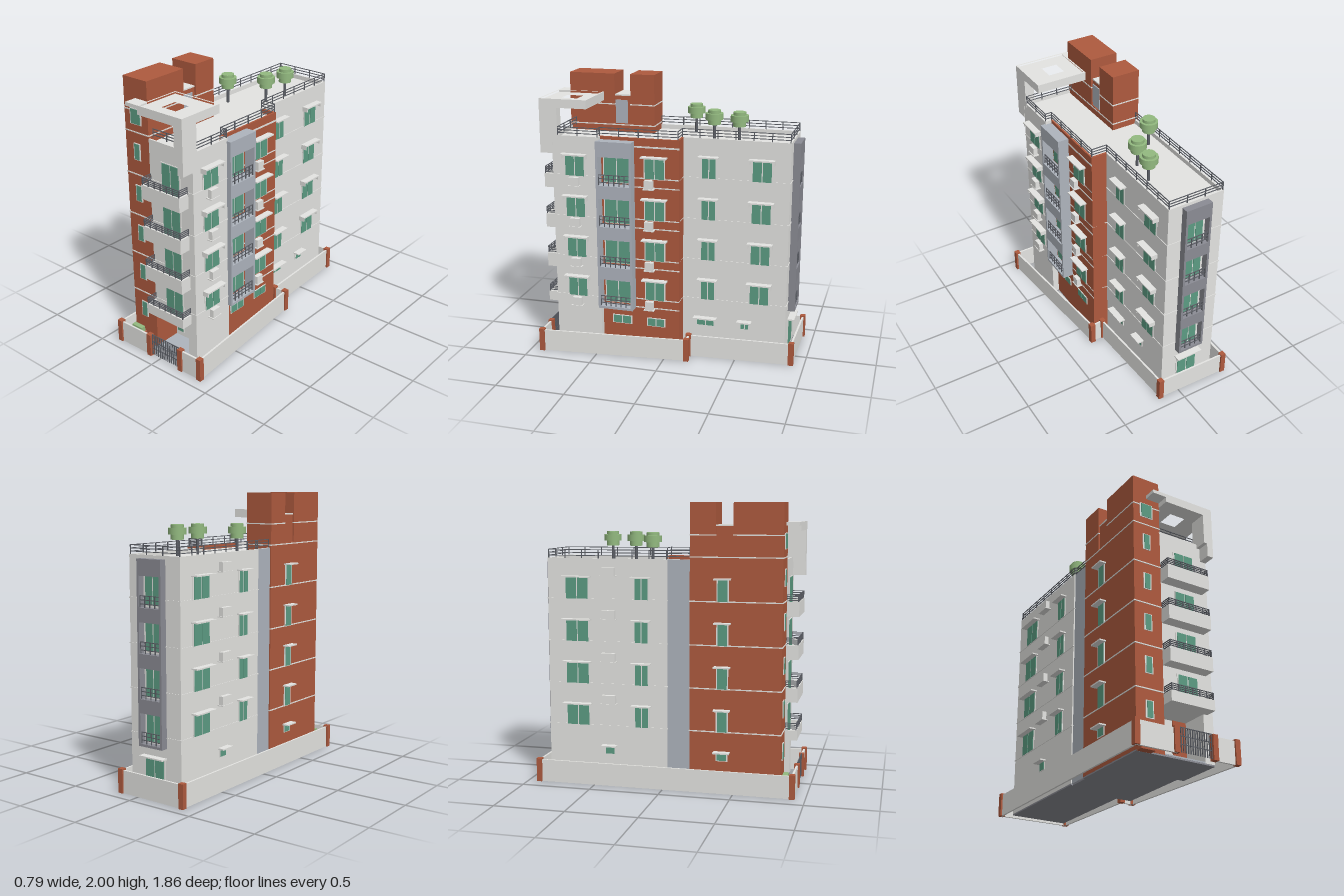
import * as THREE from 'three';

const mat = (name, color) => Object.assign(new THREE.MeshStandardMaterial({ color }), { name });
const M = {
  wall: mat('pale plaster', 0xe4e4e1),
  brick: mat('brick red', 0xae5a3e),
  panel: mat('blue grey panel', 0xaeb4bd),
  slate: mat('slate grey', 0x8b8c94),
  glass: mat('green glass', 0x5c9c83),
  metal: mat('dark metal', 0x5c5f66),
  leaf: mat('leaf green', 0x93ba80),
};
const FLOORS = [0, 1, 2, 3].map((i) => 0.422 + i * 0.302); // window sill heights
const RX = 0.105; // rear part of the right-hand wall

function add(parent, name, geo, m) {
  const mesh = new THREE.Mesh(geo, m);
  mesh.name = name;
  parent.add(mesh);
  return mesh;
}
// Box given by its limits
function box(parent, name, m, x0, x1, y0, y1, z0, z1) {
  const b = add(parent, name, new THREE.BoxGeometry(x1 - x0, y1 - y0, z1 - z0), m);
  b.position.set((x0 + x1) / 2, (y0 + y1) / 2, (z0 + z1) / 2);
}
// Upright slab running from plan point a to plan point b
function seg(parent, name, m, a, b, y0, y1, t) {
  const dx = b[0] - a[0], dz = b[1] - a[1];
  const s = add(parent, name, new THREE.BoxGeometry(Math.hypot(dx, dz) + t, y1 - y0, t), m);
  s.position.set((a[0] + b[0]) / 2, (y0 + y1) / 2, (a[1] + b[1]) / 2);
  s.rotation.y = Math.atan2(-dz, dx);
}
// Plan outline extruded upwards
function prism(parent, name, m, pts, y0, y1, hole) {
  const s = new THREE.Shape(pts.map(([x, z]) => new THREE.Vector2(x, -z)));
  if (hole) s.holes.push(new THREE.Path(hole.map(([x, z]) => new THREE.Vector2(x, -z))));
  const g = new THREE.ExtrudeGeometry(s, { depth: y1 - y0, bevelEnabled: false });
  g.rotateX(-Math.PI / 2);
  add(parent, name, g, m).position.y = y0;
}
// Rails and posts along a path
function railing(parent, path, y0, h, rails, step) {
  const g = new THREE.Group();
  g.name = 'railing';
  for (let i = 0; i + 1 < path.length; i++) {
    const [a, b] = [path[i], path[i + 1]];
    for (let r = 1; r <= rails; r++) {
      const y = y0 + (h * r) / rails;
      seg(g, 'rail', M.metal, a, b, y - 0.005, y, 0.005);
    }
    const n = Math.max(1, Math.round(Math.hypot(b[0] - a[0], b[1] - a[1]) / step));
    for (let k = 0; k <= n; k++) {
      const x = a[0] + ((b[0] - a[0]) * k) / n, z = a[1] + ((b[1] - a[1]) * k) / n;
      box(g, 'railingPost', M.metal, x - 0.003, x + 0.003, y0, y0 + h, z - 0.003, z + 0.003);
    }
  }
  parent.add(g);
}
// Group whose local +z points out of a wall
const TURN = { px: Math.PI / 2, nx: -Math.PI / 2, pz: 0, nz: Math.PI };
function onWall(parent, name, side, x, y, z) {
  const g = new THREE.Group();
  g.name = name;
  g.position.set(x, y, z);
  g.rotation.y = TURN[side];
  parent.add(g);
  return g;
}
// Framed window centred on x/z with its sill at y; canopy is 'none', 'plain' or 'sided'
function windowAt(parent, side, x, y, z, w, h, panes, canopy = 'none') {
  const g = onWall(parent, 'window', side, x, y, z);
  box(g, 'windowFrame', M.wall, -w / 2 - 0.005, w / 2 + 0.005, -0.005, h + 0.005, 0, 0.005);
  const pw = w / panes;
  for (let i = 0; i < panes; i++) {
    const c = -w / 2 + pw * (i + 0.5);
    box(g, 'windowPane', M.glass, c - pw / 2 + 0.004, c + pw / 2 - 0.004, 0, h, 0.002, 0.008);
  }
  if (canopy === 'none') return;
  const c = w / 2 + 0.02;
  box(g, 'canopy', M.wall, -c, c, h, h + 0.01, 0, 0.05);
  if (canopy === 'sided')
    for (const s of [-c, c - 0.008]) box(g, 'canopySide', M.wall, s, s + 0.008, h - 0.025, h, 0, 0.045);
}
function coolerAt(parent, side, x, y, z, w) {
  const g = onWall(parent, 'coolingUnit', side, x, y, z);
  box(g, 'coolerBody', M.wall, -w / 2, w / 2, 0, 0.06, 0.008, 0.04);
  box(g, 'coolerShelf', M.wall, -w / 2 - 0.008, w / 2 + 0.008, -0.007, 0, 0, 0.045);
}
// Projecting frame with one railed opening per floor
function bayFrame(parent, m, side, x, z, w, d) {
  const g = onWall(parent, 'balconyFrame', side, x, 0, z);
  const h = w / 2;
  const rect = (C, x0, x1, y0, y1) => new C([[x0, y0], [x1, y0], [x1, y1], [x0, y1]].map((p) => new THREE.Vector2(...p)));
  const s = rect(THREE.Shape, -h, h, 0.35, 1.59);
  for (const y of FLOORS) s.holes.push(rect(THREE.Path, -h + 0.016, h - 0.016, y - 0.055, y + 0.152));
  add(g, 'bayPanel', new THREE.ExtrudeGeometry(s, { depth: d, bevelEnabled: false }), m);
  for (const y of FLOORS) {
    windowAt(g, 'pz', 0, y - 0.04, 0.003, w - 0.07, 0.187, 2);
    railing(g, [[-h + 0.016, d - 0.012], [h - 0.016, d - 0.012]], y - 0.055, 0.08, 3, 0.04);
  }
}
// Outline of the whole house, grown outwards by o
const outline = (o) => [[-0.32 - o, -0.85 - o], [RX + o, -0.85 - o], [RX + o, -0.09 - o], [0.22 + o, -0.09 - o],
  [0.22 + o, 0.48 - o], [0.27 + o, 0.48 - o], [0.27 + o, 0.82 + o], [-0.32 - o, 0.82 + o],
  [-0.32 - o, 0.18 - o], [-0.305 - o, 0.18 - o], [-0.305 - o, 0.02 + o], [-0.32 - o, 0.02 + o]];

export function createModel() {
  const root = new THREE.Group();
  root.name = 'apartmentBlock';

  // Main body, with a recessed entrance below
  const rear = [[-0.11, 0.18], [-0.305, 0.18], [-0.305, 0.02], [-0.32, 0.02], [-0.32, -0.85],
    [RX, -0.85], [RX, -0.09], [0.218, -0.09], [0.218, 0.48], [0.27, 0.48], [0.27, 0.82]];
  prism(root, 'foundation', M.slate, outline(-0.001), 0, 0.01);
  prism(root, 'groundFloor', M.wall, [...rear, [0.195, 0.82], [0.195, 0.62], [-0.11, 0.62]], 0.01, 0.34);
  prism(root, 'upperFloors', M.wall, [...rear, [-0.11, 0.82]], 0.34, 1.58);
  box(root, 'entranceFloor', M.panel, -0.11, 0.195, 0.01, 0.02, 0.62, 0.82);
  box(root, 'entranceBrick', M.brick, 0.09, 0.194, 0.02, 0.34, 0.62, 0.628);
  windowAt(root, 'pz', -0.065, 0.06, 0.62, 0.06, 0.21, 1);

  // Brick cladding, side strip and floor bands
  box(root, 'brickWall', M.brick, 0.214, 0.222, 0.01, 1.612, -0.093, 0.48);
  box(root, 'brickReturn', M.brick, RX, 0.222, 0.01, 1.612, -0.094, -0.086);
  box(root, 'sidePanel', M.panel, -0.311, -0.304, 0.01, 1.61, 0.02, 0.18);
  for (const y of FLOORS) {
    prism(root, 'floorBand', M.wall, outline(0.004), y - 0.004, y + 0.004);
    box(root, 'brickBand', M.wall, 0.22, 0.225, y - 0.07, y - 0.062, -0.096, 0.23);
  }
  box(root, 'brickBand', M.wall, 0.22, 0.225, 1.545, 1.557, -0.096, 0.23);

  // Brick stair tower with a notch at roof level
  const tower = new THREE.Group();
  tower.name = 'stairTower';
  root.add(tower);
  box(tower, 'towerShaft', M.brick, -0.32, -0.11, 0.01, 1.64, 0.18, 0.82);
  for (const [z0, z1] of [[0.18, 0.36], [0.48, 0.82]]) {
    box(tower, 'towerTop', M.brick, -0.32, -0.11, 1.64, 2, z0, z1);
    box(tower, 'towerBand', M.wall, -0.323, -0.107, 1.776, 1.784, z0 - 0.003, z1 + 0.003);
  }
  box(tower, 'towerLink', M.brick, -0.308, -0.125, 1.64, 1.84, 0.36, 0.48);
  box(tower, 'towerLinkCap', M.wall, -0.312, -0.122, 1.84, 1.85, 0.36, 0.48);
  box(tower, 'roofDoor', M.panel, -0.125, -0.118, 1.6, 1.81, 0.385, 0.475);
  box(tower, 'towerBand', M.wall, -0.323, -0.107, 1.626, 1.634, 0.177, 0.823);
  for (const y of [0.23, ...FLOORS.map((f) => f + 0.11)]) windowAt(tower, 'pz', -0.218, y, 0.82, 0.05, 0.11, 1);
  windowAt(tower, 'pz', -0.218, 1.69, 0.82, 0.09, 0.1, 1);

  // Windows, canopies and cooling units on each storey
  for (const y of FLOORS) {
    windowAt(root, 'px', 0.27, y, 0.655, 0.145, 0.15, 2, 'sided');
    coolerAt(root, 'px', 0.27, y - 0.067, 0.655, 0.07);
    windowAt(root, 'px', 0.222, y, 0.083, 0.145, 0.15, 2, 'plain');
    coolerAt(root, 'px', 0.222, y - 0.067, 0.12, 0.06);
    windowAt(root, 'px', RX, y, -0.278, 0.105, 0.15, 2, 'plain');
    windowAt(root, 'px', RX, y, -0.655, 0.14, 0.15, 2, 'sided');
    windowAt(root, 'nx', -0.32, y, -0.635, 0.17, 0.15, 2, 'plain');
    windowAt(root, 'nx', -0.32, y, -0.165, 0.1, 0.15, 2, 'plain');
    windowAt(root, 'nx', -0.32, y, 0.41, 0.075, 0.15, 1, 'plain');
    coolerAt(root, 'nx', -0.32, y + 0.165, -0.4, 0.1);
  }
  for (const [x, z, w, canopy] of [[0.222, 0.335, 0.14, 'none'], [0.222, 0.077, 0.13, 'none'],
    [RX, -0.265, 0.13, 'plain'], [RX, -0.555, 0.065, 'plain']])
    windowAt(root, 'px', x, 0.22, z, w, 0.055, 2, canopy);
  for (const [z, w] of [[-0.4, 0.07], [0.41, 0.075]]) windowAt(root, 'nx', -0.32, 0.22, z, w, 0.055, 1, 'plain');
  windowAt(root, 'nz', -0.1, 0.06, -0.85, 0.16, 0.215, 2, 'plain');
  bayFrame(root, M.panel, 'px', 0.218, 0.36, 0.26, 0.085);
  bayFrame(root, M.slate, 'nz', -0.1, -0.85, 0.2, 0.05);

  // Front balconies
  for (const y of FLOORS) {
    const b = new THREE.Group();
    b.name = 'frontBalcony';
    root.add(b);
    const y0 = Math.max(0.34, y - 0.112), top = y - 0.01;
    const path = [[-0.104, 0.82], [-0.104, 0.9], [0.22, 0.9], [0.22, 0.82]];
    box(b, 'balconyFloor', M.wall, -0.11, 0.226, y0, y0 + 0.015, 0.82, 0.906);
    for (let i = 0; i < 3; i++) seg(b, 'balconyParapet', M.wall, path[i], path[i + 1], y0, top, 0.012);
    railing(b, path, top, 0.052, 4, 0.055);
    windowAt(b, 'pz', 0.078, y0 + 0.02, 0.82, 0.155, y + 0.15 - y0 - 0.02, 2);
  }

  // Roof edge and its railing
  const ex = RX - 0.006;
  const edge = [[-0.299, 0.18], [-0.299, 0.014], [-0.314, 0.014], [-0.314, -0.844], [ex, -0.844], [ex, -0.084],
    [0.214, -0.084], [0.214, 0.486], [0.264, 0.486], [0.264, 0.814], [-0.11, 0.814]];
  for (let i = 0; i + 1 < edge.length; i++)
    seg(root, 'roofParapet', i === 5 || i === 6 ? M.brick : M.wall, edge[i], edge[i + 1], 1.57, 1.612, 0.012);
  railing(root, [...edge.slice(0, 9), [0.264, 0.78], [-0.11, 0.78]], 1.612, 0.062, 3, 0.13);

  // Roof canopy with a raised rim and square opening, carried by one corner leg
  const rect = (x0, x1, z0, z1) => [[x0, z0], [x1, z0], [x1, z1], [x0, z1]];
  prism(root, 'roofCanopy', M.wall, rect(-0.11, 0.272, 0.56, 0.91), 1.805, 1.85, rect(0, 0.12, 0.68, 0.8));
  prism(root, 'canopyRim', M.wall, rect(-0.11, 0.272, 0.56, 0.91), 1.85, 1.867, rect(-0.098, 0.26, 0.572, 0.898));
  box(root, 'canopyLip', M.wall, -0.215, -0.11, 1.842, 1.867, 0.82, 0.91);
  box(root, 'canopyLeg', M.wall, 0.2, 0.272, 1.58, 1.805, 0.78, 0.91);
  box(root, 'canopyLegFoot', M.wall, 0.225, 0.272, 1.48, 1.58, 0.815, 0.91);

  // Roof trees
  for (const [x, z] of [[0.01, -0.47], [-0.02, -0.285], [-0.225, -0.105]]) {
    const t = new THREE.Group();
    t.name = 'roofTree';
    t.position.set(x, 0, z);
    root.add(t);
    for (const [name, r, y0, y1, m] of [['trunk', 0.01, 1.58, 1.7, M.metal], ['lowerLeaves', 0.045, 1.69, 1.735, M.leaf],
      ['middleLeaves', 0.063, 1.725, 1.77, M.leaf], ['topLeaves', 0.045, 1.765, 1.792, M.leaf]])
      add(t, name, new THREE.CylinderGeometry(r, r, y1 - y0, 20), m).position.y = (y0 + y1) / 2;
  }

  // Boundary wall, posts, gate and planter
  const posts = [[0.2, 0.91], [0.375, 0.91], [0.28, -0.163], [0.187, -0.157], [0.15, -0.905], [-0.38, -0.915],
    [-0.38, 0.91], [-0.092, 0.91]];
  posts.forEach(([x, z], i) => {
    box(root, 'boundaryPost', M.brick, x - 0.019, x + 0.019, 0, 0.17, z - 0.019, z + 0.019);
    if (i < 7 && i !== 7) seg(root, 'boundaryWall', M.wall, posts[i], posts[i + 1], 0, 0.16, 0.014);
  });
  railing(root, [[-0.07, 0.91], [0.18, 0.91]], 0.01, 0.165, 3, 0.018);
  box(root, 'planter', M.brick, -0.32, -0.215, 0, 0.1, 0.82, 0.875);
  box(root, 'planterHedge', M.leaf, -0.314, -0.221, 0.1, 0.14, 0.832, 0.869);
  return root;
}
